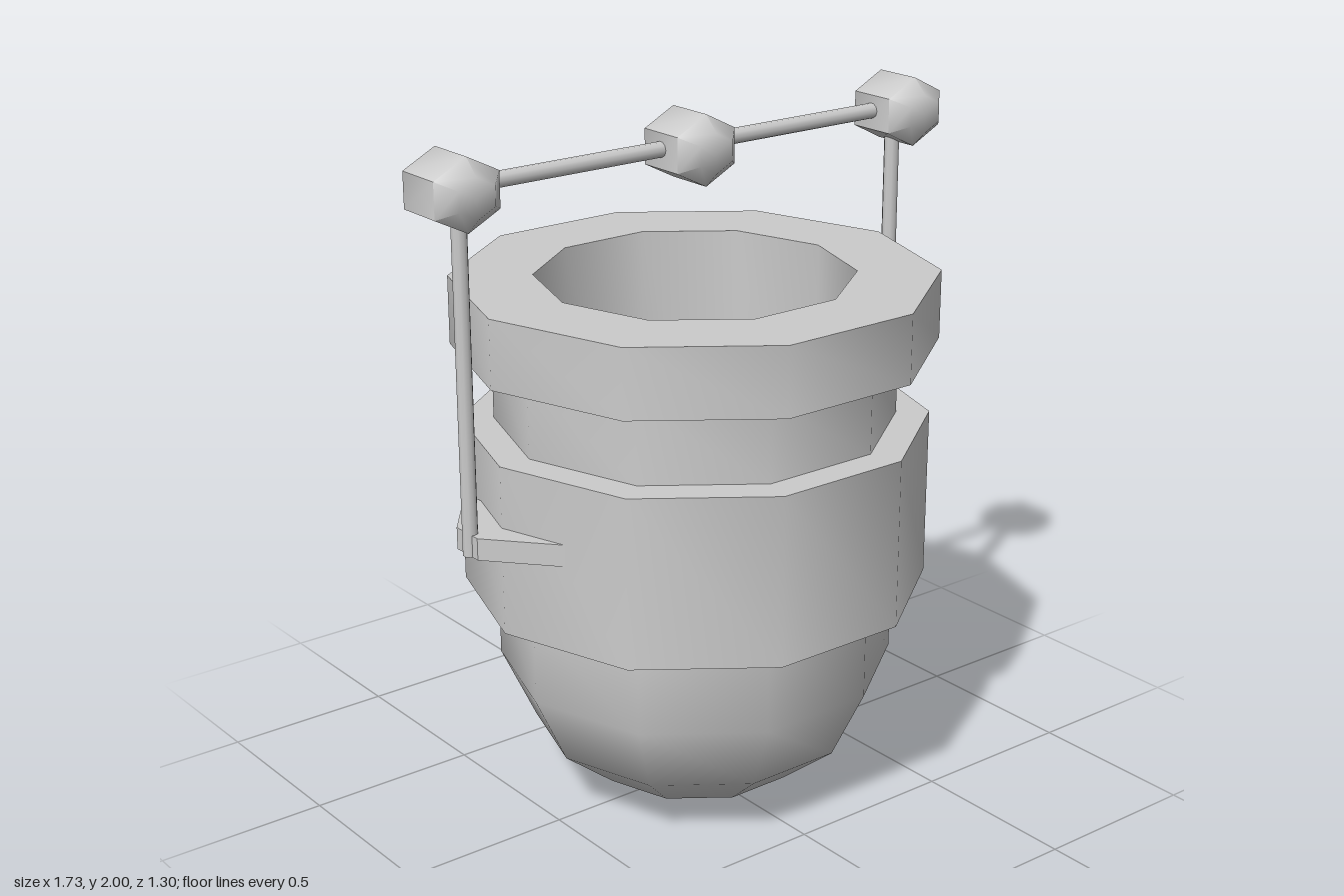
import * as THREE from 'three';
import { toCreasedNormals } from 'three/addons/utils/BufferGeometryUtils.js';

const material = new THREE.MeshStandardMaterial({ color: 0xcccccc });
const HANDLE_Z = -0.025, BAR_Y = 1.905, POST_X = 0.75;

function add(parent, name, geometry, x = 0, y = 0, z = 0) {
  const mesh = new THREE.Mesh(geometry, material);
  mesh.name = name;
  mesh.position.set(x, y, z);
  parent.add(mesh);
  return mesh;
}

function lathe(points, sides, start = 0) {
  return new THREE.LatheGeometry(points.map(p => new THREE.Vector2(...p)), sides, start);
}

// Ten-sided bucket: rounded bottom, raised band, heavy rim and a straight bore
function bucketGeometry() {
  const geometry = lathe([
    [0.18, 0], [0.31, 0.063], [0.47, 0.19], [0.57, 0.4],
    [0.57, 0.64], [0.665, 0.64], [0.665, 1.13], [0.57, 1.13],
    [0.57, 1.35], [0.685, 1.35], [0.685, 1.547], [0.45, 1.547],
    [0.45, 0.4], [0, 0.4],
  ], 10, Math.PI / 2);
  // Pinch the lowest ring into a short ridge running along x
  const p = geometry.attributes.position;
  for (let i = 0; i < p.count; i++) if (p.getY(i) < 0.01) p.setZ(i, 0.01);
  return toCreasedNormals(geometry, 0.9);
}

// Six-sided knob lying along z, bevelled at both ends
function knobGeometry() {
  const geometry = lathe([
    [0, -0.119], [0.055, -0.119], [0.1, -0.072],
    [0.1, 0.072], [0.055, 0.119], [0, 0.119],
  ], 6);
  geometry.rotateX(Math.PI / 2);
  geometry.scale(1.14, 1, 1);
  return toCreasedNormals(geometry, 1.1);
}

// Flat tapered lug; side is +1 for left, -1 for right
function lugGeometry(side) {
  const plan = [[0.6, 0.2], [0.757, 0.02], [0.757, -0.08], [0.6, -0.28]];
  const shape = new THREE.Shape(plan.map(([x, z]) => new THREE.Vector2(side * x, -z)));
  const geometry = new THREE.ExtrudeGeometry(shape, { depth: 0.063, bevelEnabled: false });
  return geometry.rotateX(-Math.PI / 2);
}

export function createModel() {
  const model = new THREE.Group();
  model.name = 'bucket';
  add(model, 'bucketBody', bucketGeometry());

  // Handle: two posts, a cross bar and three knobs
  const handle = new THREE.Group();
  handle.name = 'handle';
  model.add(handle);

  const bottom = 0.89;
  for (const [label, side] of [['left', 1], ['right', -1]]) {
    add(model, label + 'Lug', lugGeometry(side), 0, 0.89, 0);
    const post = new THREE.CylinderGeometry(0.022, 0.022, BAR_Y - bottom, 10);
    add(handle, label + 'Post', post, side * POST_X, (BAR_Y + bottom) / 2, HANDLE_Z);
    add(handle, label + 'Knob', knobGeometry(), side * 0.767, 1.9, HANDLE_Z);
  }
  const bar = new THREE.CylinderGeometry(0.022, 0.022, POST_X * 2, 10).rotateZ(Math.PI / 2);
  add(handle, 'crossBar', bar, 0, BAR_Y, HANDLE_Z);
  add(handle, 'middleKnob', knobGeometry(), 0, 1.9, HANDLE_Z);

  return model;
}
